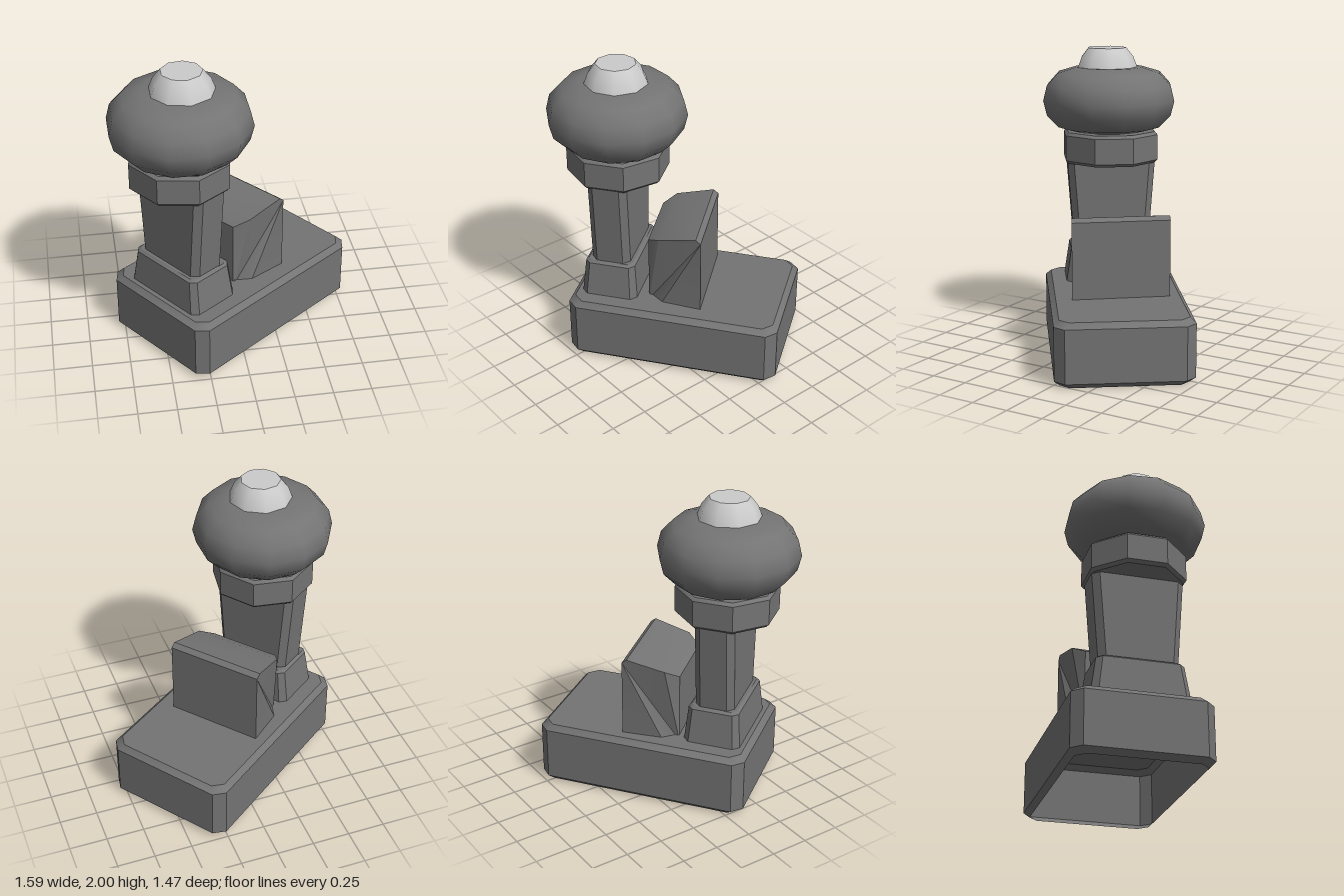
import * as THREE from 'three';
import { toCreasedNormals } from 'three/addons/utils/BufferGeometryUtils.js';

const YAW = 0.63;      // turn of the whole base about the vertical
const POST_X = -0.452; // post axis along the base

const dark = () => new THREE.MeshStandardMaterial({ color: 0x747474, side: THREE.DoubleSide });
const light = () => new THREE.MeshStandardMaterial({ color: 0xcccccc });

function mesh(name, geometry, material) {
  const m = new THREE.Mesh(geometry, material);
  m.name = name;
  return m;
}

// Stack of rectangles with cut corners, each ring [y, halfX, halfZ, cut]
function chamferedLoft(rings, closedBottom) {
  const pos = [], index = [], n = 8;
  for (const [y, hx, hz, c] of rings) {
    const outline = [
      [hx, hz - c], [hx, c - hz], [hx - c, -hz], [c - hx, -hz],
      [-hx, c - hz], [-hx, hz - c], [c - hx, hz], [hx - c, hz],
    ];
    for (const [x, z] of outline) pos.push(x, y, z);
  }
  for (let r = 0; r < rings.length - 1; r++) {
    for (let i = 0; i < n; i++) {
      const a = r * n + i, b = r * n + (i + 1) % n;
      index.push(a, b, b + n, a, b + n, a + n);
    }
  }
  const top = (rings.length - 1) * n;
  for (let i = 1; i < n - 1; i++) {
    index.push(top, top + i, top + i + 1);
    if (closedBottom) index.push(0, i + 1, i);
  }
  const g = new THREE.BufferGeometry();
  g.setAttribute('position', new THREE.Float32BufferAttribute(pos, 3));
  g.setIndex(index);
  return toCreasedNormals(g, 0.6);
}

// Wedge-topped block whose plan narrows towards the post
function blockGeometry() {
  const profile = [[0.158, 0.38], [0.158, 0.93], [0.125, 0.955], [-0.126, 0.9], [-0.21, 0.85], [-0.21, 0.38], [-0.126, 0.38]];
  const shape = new THREE.Shape(profile.map(([x, y]) => new THREE.Vector2(x, y)));
  const g = new THREE.ExtrudeGeometry(shape, { depth: 0.645, bevelEnabled: false });
  g.translate(0, 0, -0.3225);
  const p = g.attributes.position;
  for (let i = 0; i < p.count; i++) {
    const x = p.getX(i);
    const z = p.getZ(i) * (x < -0.2 ? 0.72 : x < 0 ? 0.93 : 1) - 0.02;
    p.setXYZ(i, x + 0.057 * z, p.getY(i), z);
  }
  return toCreasedNormals(g, 0.6);
}

const lathe = (points, sides, start) =>
  new THREE.LatheGeometry(points.map(([r, y]) => new THREE.Vector2(r, y)), sides, start);

export function createModel() {
  const model = new THREE.Group();
  model.name = 'leverOnBase';

  const body = new THREE.Group();
  body.name = 'body';
  body.rotation.y = YAW;
  model.add(body);

  // Hollow base, open underneath
  body.add(mesh('base', chamferedLoft([
    [0, 0.67, 0.408, 0.06], [0.035, 0.705, 0.443, 0.065],
    [0.385, 0.705, 0.443, 0.065], [0.42, 0.67, 0.408, 0.06],
  ], false), dark()));

  body.add(mesh('block', blockGeometry(), dark()));

  // Foot and post of the lever
  const pedestal = mesh('pedestal', chamferedLoft([
    [0.4, 0.19, 0.315, 0.04], [0.645, 0.168, 0.278, 0.035], [0.66, 0.15, 0.26, 0.03],
  ], true), dark());
  const post = mesh('post', chamferedLoft([
    [0.63, 0.13, 0.252, 0.042], [1.25, 0.13, 0.298, 0.042],
  ], true), dark());

  // Eight-sided collar
  const collar = mesh('collar', toCreasedNormals(lathe(
    [[0, 1.23], [0.315, 1.23], [0.335, 1.25], [0.335, 1.42], [0.315, 1.44], [0, 1.44]],
    8, Math.PI / 8), 0.6), dark());
  for (const part of [pedestal, post, collar]) {
    part.position.x = POST_X;
    body.add(part);
  }

  // Round knob with a small light cap
  const head = new THREE.Group();
  head.name = 'head';
  head.position.set(-0.36, 0, 0.272);
  head.add(mesh('knob', lathe([
    [0, 1.435], [0.23, 1.437], [0.35, 1.468], [0.43, 1.55], [0.455, 1.65],
    [0.43, 1.75], [0.355, 1.832], [0.23, 1.87], [0, 1.875],
  ], 12, Math.PI / 12), dark()));
  const cap = mesh('cap', toCreasedNormals(lathe(
    [[0.22, 1.83], [0.205, 1.87], [0.178, 1.94], [0.13, 2], [0, 2]], 9, Math.PI / 2), 0.75), light());
  cap.position.set(0.015, 0, 0.008);
  head.add(cap);
  model.add(head);

  return model;
}
